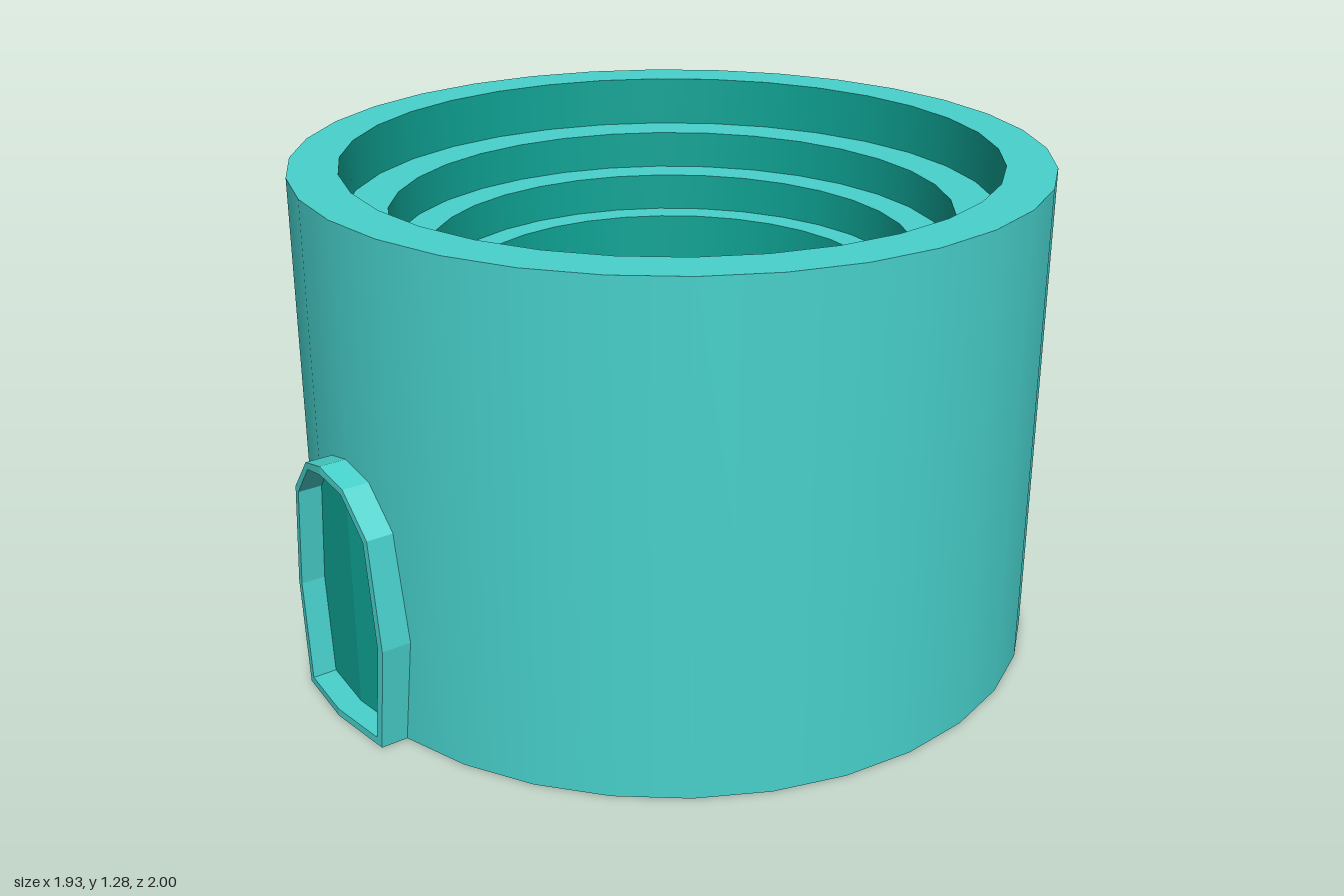
import * as THREE from 'three';

const mat = (name, color) => {
  const m = new THREE.MeshStandardMaterial({ color });
  m.name = name;
  return m;
};

export function createModel() {
  const turquoise = mat('turquoise', 0x48d1cc);
  const teal = mat('deep teal', 0x0fa596);
  const sand = mat('sand', 0xe6c85c);

  const model = new THREE.Group();
  model.name = 'arena';
  const drum = new THREE.Group();
  drum.name = 'drum';
  drum.position.z = -0.035;
  model.add(drum);

  // One straight band of the drum's profile, swept around the axis
  const band = (name, r0, y0, r1, y1, material) => {
    const pts = [new THREE.Vector2(r0, y0), new THREE.Vector2(r1, y1)];
    const mesh = new THREE.Mesh(new THREE.LatheGeometry(pts, 32), material);
    mesh.name = name;
    drum.add(mesh);
  };

  // Outer shell
  const R = 0.966, H = 1.28;
  band('base', 0, 0, R, 0, turquoise);
  band('outerWall', R, 0, R, H, turquoise);

  // Rim and stepped tiers: outer radius, inner radius, tread height, height at foot of riser
  const tiers = [
    [R, 0.84, H, 1.146],
    [0.84, 0.725, 1.146, 1.044],
    [0.725, 0.63, 1.044, 0.943],
    [0.63, 0.555, 0.943, 0.775],
  ];
  tiers.forEach(([rOut, rIn, y, foot], i) => {
    band(i ? `tread${i}` : 'rim', rOut, y, rIn, y, turquoise);
    band(`riser${i + 1}`, rIn, y, rIn, foot, teal);
  });
  band('arenaFloor', 0.555, 0.775, 0, 0.775, sand);

  // Arched doorway, built as two mirrored halves that follow the wall's facets
  const outer = [[0, 0], [0.19, 0], [0.22, 0.28], [0.185, 0.56], [0.095, 0.66], [0, 0.687]];
  const inner = [[0, 0.02], [0.17, 0.02], [0.2, 0.28], [0.168, 0.55], [0.085, 0.645], [0, 0.665]];
  const slope = Math.tan(Math.PI / 32);
  const follow = (geometry, minZ) => {
    const p = geometry.attributes.position;
    for (let i = 0; i < p.count; i++) {
      if (p.getZ(i) > minZ) p.setZ(i, p.getZ(i) - slope * Math.abs(p.getX(i)));
    }
    geometry.computeVertexNormals();
    return geometry;
  };
  const toShape = (pts, side) =>
    new THREE.Shape(pts.map(([x, y]) => new THREE.Vector2(x * side, y)));

  const door = new THREE.Group();
  door.name = 'doorway';
  model.add(door);
  for (const side of [1, -1]) {
    const frameGeo = new THREE.ExtrudeGeometry(
      toShape([...outer, ...[...inner].reverse()], side),
      { depth: 0.11, bevelEnabled: false });
    frameGeo.translate(0, 0, 0.89);
    const frame = new THREE.Mesh(follow(frameGeo, 0.95), turquoise);
    frame.name = side > 0 ? 'doorFrameLeft' : 'doorFrameRight';

    const panelGeo = new THREE.ShapeGeometry(toShape(inner, side));
    panelGeo.translate(0, 0, 0.937);
    const panel = new THREE.Mesh(follow(panelGeo, 0), teal);
    panel.name = side > 0 ? 'doorPanelLeft' : 'doorPanelRight';
    door.add(frame, panel);
  }

  return model;
}
